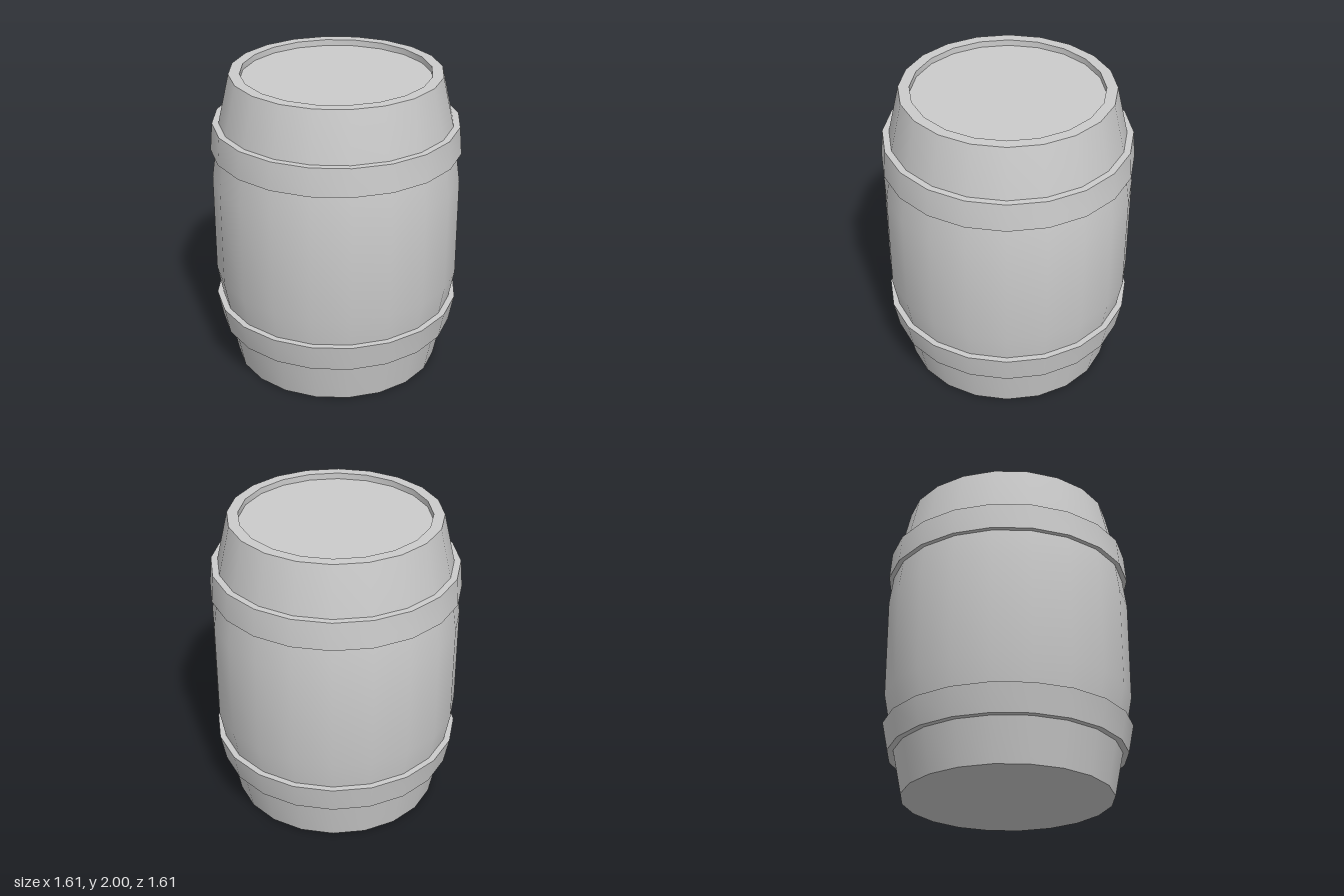
import * as THREE from 'three';
import { toCreasedNormals } from 'three/addons/utils/BufferGeometryUtils.js';

const SIDES = 20;

// Revolve a [radius, height] profile: smooth around, sharp at rims
function revolve(name, profile) {
  const points = profile.map(([r, y]) => new THREE.Vector2(r, y));
  const geometry = toCreasedNormals(new THREE.LatheGeometry(points, SIDES), 0.6);
  const mesh = new THREE.Mesh(geometry, new THREE.MeshStandardMaterial({ color: 0xcccccc }));
  mesh.name = name;
  return mesh;
}

// Tapered hoop with a flat top and bottom, its inside buried in the staves
function hoop(name, y0, r0, y1, r1) {
  const inner = 0.7;
  return revolve(name, [[inner, y0], [r0, y0], [r1, y1], [inner, y1]]);
}

export function createModel() {
  const barrel = new THREE.Group();
  barrel.name = 'barrel';

  // Bulging body with closed bottom, rim and recessed lid
  barrel.add(revolve('body', [
    [0, 0], [0.675, 0], [0.735, 0.3], [0.8, 0.65],
    [0.8, 1.31], [0.75, 1.67], [0.675, 2],
    [0.605, 2], [0.605, 1.96], [0, 1.96],
  ]));

  // Two hoops, widest toward the middle
  barrel.add(hoop('lowerHoop', 0.28, 0.77, 0.46, 0.805));
  barrel.add(hoop('upperHoop', 1.5, 0.805, 1.68, 0.79));

  return barrel;
}
